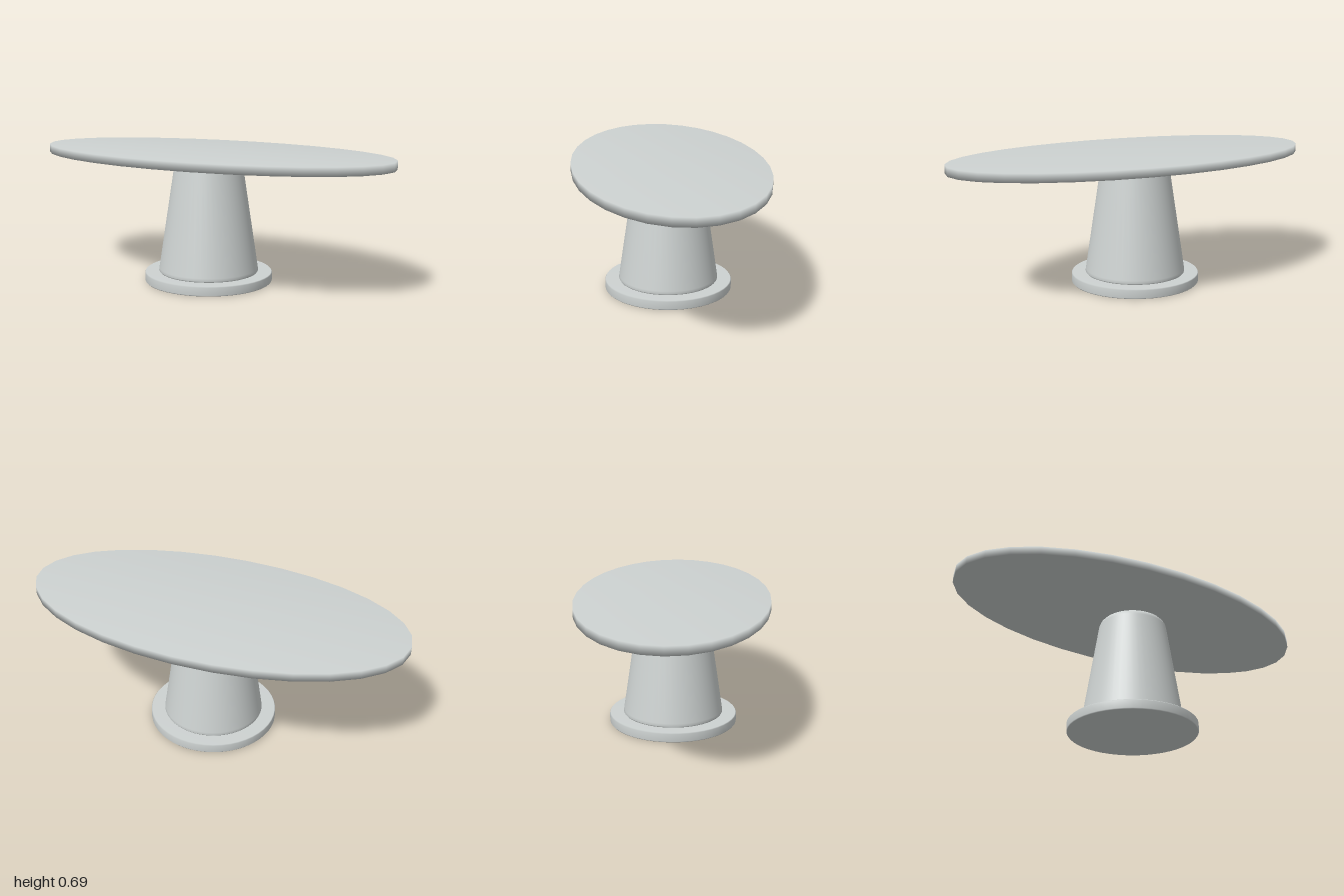
import * as THREE from 'three';

// Closed, smoothly shaded turned solid from [radius, height] pairs, bottom to top
function turned(name, profile, sides, material) {
  const points = profile.map(([r, y]) => new THREE.Vector2(r, y));
  const mesh = new THREE.Mesh(new THREE.LatheGeometry(points, sides), material);
  mesh.name = name;
  return mesh;
}

export function createModel() {
  const group = new THREE.Group();
  group.name = 'ovalPedestalTable';

  const paleGrey = new THREE.MeshStandardMaterial({ color: 0xcdd2d1 });
  paleGrey.name = 'paleGrey';

  // Round foot plate with softened edges
  const foot = turned('footPlate', [
    [0, 0], [0.334, 0], [0.338, 0.005], [0.338, 0.045], [0.334, 0.05], [0, 0.05],
  ], 48, paleGrey);

  // Tapered column with a rounded shoulder
  const column = turned('column', [
    [0, 0.049], [0.26, 0.049], [0.264, 0.056], [0.262, 0.07], [0.181, 0.6],
    [0.174, 0.617], [0.162, 0.63], [0.142, 0.636], [0, 0.636],
  ], 48, paleGrey);

  // Oval top, floating just above the column
  const top = turned('tableTop', [
    [0, 0.648], [1, 0.648], [1, 0.691], [0, 0.691],
  ], 32, paleGrey);
  top.geometry.scale(1, 1, 0.5);

  group.add(foot, column, top);
  return group;
}
